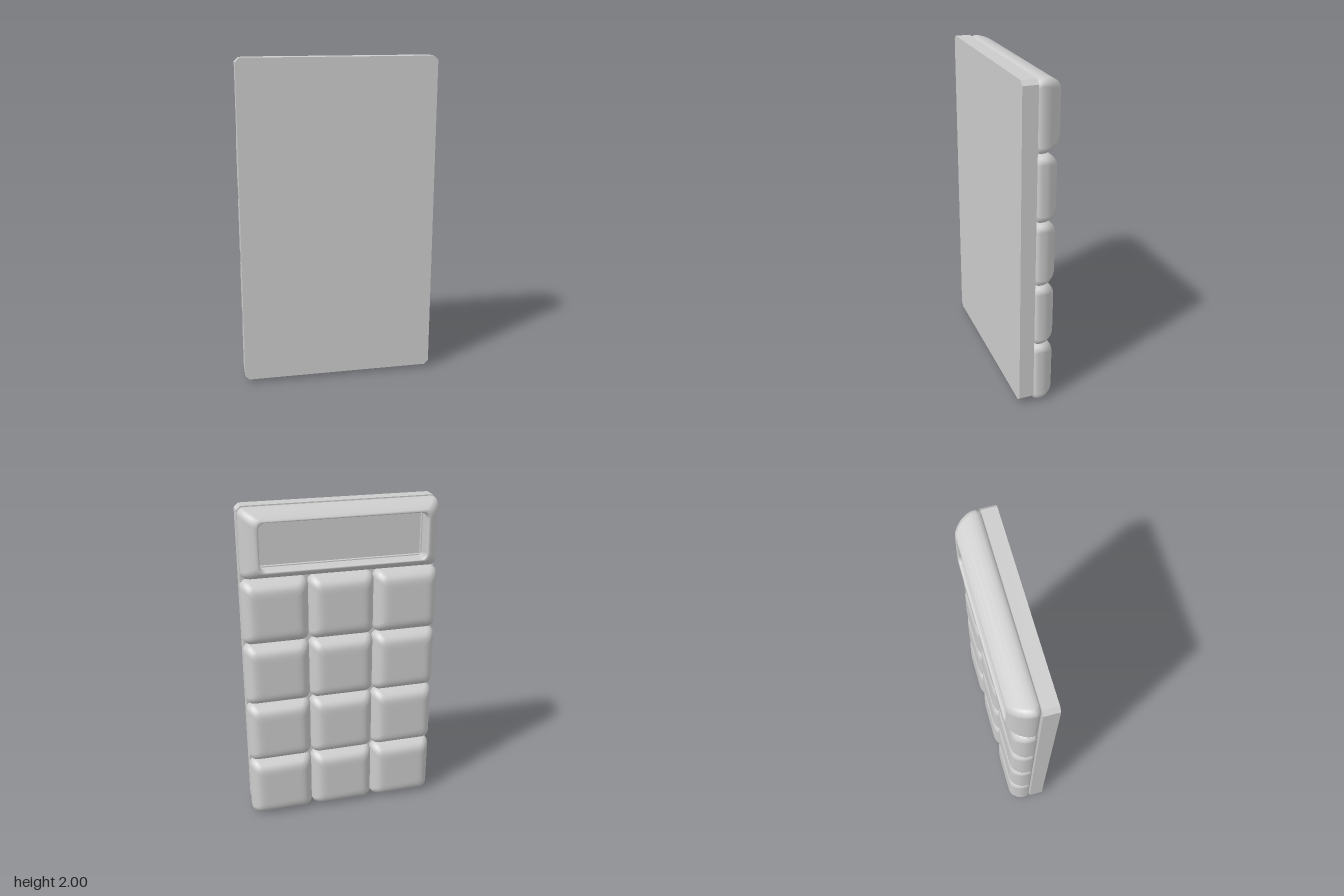
import * as THREE from 'three';

const STEPS = 5; // segments per rounded corner

// Skins a stack of rounded rectangles [halfWidth, halfHeight, cornerRadius, z]
function loft(rings, capStart, capEnd) {
  const pos = [], index = [];
  const n = 4 * (STEPS + 1);
  for (const [w, h, r, z] of rings) {
    for (let q = 0; q < 4; q++) {
      const sx = q === 0 || q === 3 ? 1 : -1, sy = q < 2 ? 1 : -1;
      for (let i = 0; i <= STEPS; i++) {
        const a = (q + i / STEPS) * Math.PI / 2;
        pos.push(sx * (w - r) + r * Math.cos(a), sy * (h - r) + r * Math.sin(a), z);
      }
    }
  }
  for (let k = 0; k < rings.length - 1; k++) {
    for (let j = 0; j < n; j++) {
      const a = k * n + j, b = k * n + (j + 1) % n;
      index.push(a, a + n, b, b, a + n, b + n);
    }
  }
  const cap = (k, front) => {
    const c = pos.length / 3;
    pos.push(0, 0, rings[k][3]);
    for (let j = 0; j < n; j++) {
      const a = k * n + j, b = k * n + (j + 1) % n;
      if (front) index.push(c, a, b); else index.push(c, b, a);
    }
  };
  if (capStart) cap(0, true);
  if (capEnd) cap(rings.length - 1, false);
  const g = new THREE.BufferGeometry();
  g.setAttribute('position', new THREE.Float32BufferAttribute(pos, 3));
  g.setIndex(index);
  g.computeVertexNormals();
  return g;
}

export function createModel() {
  const model = new THREE.Group();
  const grey = new THREE.MeshStandardMaterial({ color: 0xcccccc });
  grey.name = 'light grey';
  const add = (name, geometry, x, y, z, parent = model) => {
    const m = new THREE.Mesh(geometry, grey);
    m.name = name;
    m.position.set(x, y, z);
    parent.add(m);
    return m;
  };

  // Flat board with clipped corners
  const w = 0.595, h = 0.988, c = 0.025;
  const outline = new THREE.Shape([
    [-w + c, -h], [w - c, -h], [w, -h + c], [w, h - c],
    [w - c, h], [-w + c, h], [-w, h - c], [-w, -h + c],
  ].map(([x, y]) => new THREE.Vector2(x, y)));
  add('board', new THREE.ExtrudeGeometry(outline, { depth: 0.09, bevelEnabled: false }), -0.005, 1.012, 0.035);

  // Soft keys, profile as [inset, z]
  const keyProfile = [
    [0.025, 0.035], [0.008, 0.026], [0, 0.01], [0, -0.02], [0.004, -0.04],
    [0.014, -0.06], [0.028, -0.08], [0.043, -0.092], [0.06, -0.098], [0.08, -0.1], [0.1, -0.1],
  ];
  const keyGeometry = loft(keyProfile.map(([i, z]) => [0.199 - i, 0.197 - i, 0.045 - i * 0.25, z]), true, true);
  const keys = new THREE.Group();
  keys.name = 'keys';
  model.add(keys);
  for (let row = 0; row < 4; row++) {
    for (let col = -1; col <= 1; col++) {
      add('key', keyGeometry, col * 0.4, 0.2 + row * 0.396, 0, keys);
    }
  }

  // Display housing, profile as [half width, half height, z]
  const display = new THREE.Group();
  display.name = 'display';
  display.position.y = 1.795;
  model.add(display);
  const housing = [
    [0.57, 0.185, 0.035], [0.586, 0.199, 0.026], [0.592, 0.205, 0.005], [0.59, 0.203, -0.02],
    [0.582, 0.197, -0.045], [0.566, 0.186, -0.075], [0.545, 0.171, -0.1],
    [0.522, 0.156, -0.118], [0.506, 0.147, -0.125], [0.497, 0.141, -0.122], [0.494, 0.138, -0.112],
  ].map(([x, y, z]) => [x, y, 0.04, z]);
  add('housing', loft(housing, true, false), 0, 0, 0, display);

  // Recess walls, ledge and screen
  add('recessWall', loft([[0.494, 0.138, 0.04, -0.112], [0.494, 0.138, 0.02, -0.03]], false, false), 0, 0, 0, display);
  add('recessLedge', loft([[0.494, 0.138, 0.02, -0.03], [0.488, 0.132, 0.002, -0.03]], false, false), 0, 0, 0, display);
  add('screenEdge', loft([[0.488, 0.132, 0.002, -0.03], [0.488, 0.132, 0.002, -0.01]], false, false), 0, 0, 0, display);
  add('screen', new THREE.BoxGeometry(0.976, 0.264, 0.008), 0, 0, -0.006, display);

  return model;
}
